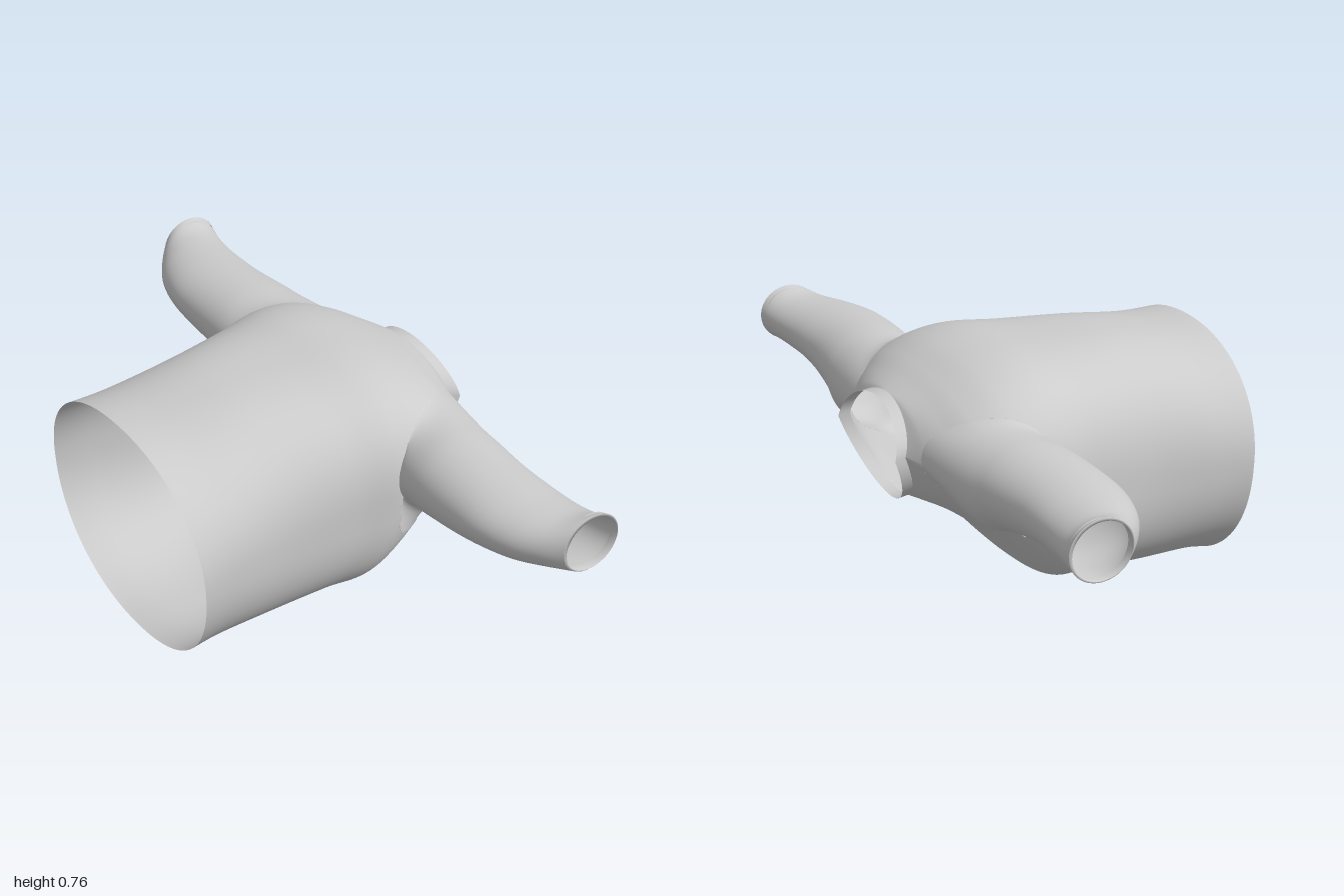
import * as THREE from 'three';

const material = new THREE.MeshStandardMaterial({ color: 0xcccccc, side: THREE.DoubleSide });

// Torso sections, hem to neck: top x,y | widest x,y | half width | bottom x,y | squareness
const SECTIONS = [
  [-0.53, 0.715, -0.51, 0.38, 0.41, -0.49, 0.0, 2.15],
  [-0.4, 0.715, -0.4, 0.38, 0.395, -0.4, 0.02, 2.3],
  [-0.2, 0.74, -0.2, 0.38, 0.38, -0.22, 0.028, 2.5],
  [0.0, 0.75, 0.0, 0.4, 0.4, -0.05, 0.055, 2.7],
  [0.15, 0.76, 0.13, 0.43, 0.43, 0.06, 0.065, 2.7],
  [0.26, 0.745, 0.25, 0.48, 0.43, 0.14, 0.12, 2.5],
  [0.35, 0.71, 0.35, 0.5, 0.4, 0.24, 0.23, 2.3],
  [0.41, 0.68, 0.42, 0.51, 0.33, 0.33, 0.3, 2.1],
  [0.45, 0.66, 0.465, 0.52, 0.25, 0.4, 0.335, 2],
  [0.46, 0.655, 0.495, 0.53, 0.185, 0.43, 0.345, 1.9],
];

// Sleeve rings, shoulder to cuff: z | x min,max | y min,max
const RINGS = [
  [0.43, 0.128, 0.443, 0.372, 0.648],
  [0.52, 0.118, 0.428, 0.4, 0.648],
  [0.65, 0.115, 0.412, 0.425, 0.642],
  [0.76, 0.122, 0.41, 0.445, 0.635],
  [0.86, 0.152, 0.415, 0.455, 0.628],
  [0.94, 0.2, 0.425, 0.465, 0.628],
  [0.995, 0.245, 0.435, 0.468, 0.645],
];

// Armhole: an ellipse in torso space (section index, angle)
const HOLE = { t: 6.1, a: 0.12, rt: 2.1, ra: 0.64 };

// Smooth interpolation through a list of number rows
function sample(rows, t) {
  const i = Math.min(Math.floor(t), rows.length - 2);
  const f = t - i;
  const row = (k) => rows[Math.max(0, Math.min(rows.length - 1, k))];
  return row(i).map((b, c) => {
    const d = row(i + 1)[c];
    const m0 = (d - row(i - 1)[c]) / 2;
    const m1 = (row(i + 2)[c] - b) / 2;
    return b + f * (m0 + f * (3 * (d - b) - 2 * m0 - m1 + f * (2 * (b - d) + m0 + m1)));
  });
}

// Point on the torso; angle 0 is the left side, PI / 2 the top
function torsoPoint(t, a) {
  const [xt, yt, xm, ym, w, xb, yb, p] = sample(SECTIONS, t);
  const c = Math.cos(a), s = Math.sin(a);
  const h = Math.abs(s) ** (2 / p);
  const [xe, ye] = s > 0 ? [xt, yt] : [xb, yb];
  return [xm + (xe - xm) * h, ym + (ye - ym) * h, w * Math.sign(c) * Math.abs(c) ** (2 / p)];
}

// Tube-like surface: rows of closed rings, with an optional rule to leave quads out
function loft(name, rows, cols, point, skip = () => false) {
  const positions = [], index = [];
  for (let i = 0; i <= rows; i++) {
    for (let j = 0; j < cols; j++) positions.push(...point(i / rows, (j / cols) * Math.PI * 2));
  }
  for (let i = 0; i < rows; i++) {
    for (let j = 0; j < cols; j++) {
      if (skip((i + 0.5) / rows, ((j + 0.5) / cols) * Math.PI * 2)) continue;
      const k = (j + 1) % cols;
      const a = i * cols + j, b = i * cols + k, c = a + cols, d = b + cols;
      index.push(a, c, b, b, c, d);
    }
  }
  const geometry = new THREE.BufferGeometry();
  geometry.setAttribute('position', new THREE.Float32BufferAttribute(positions, 3));
  geometry.setIndex(index);
  geometry.computeVertexNormals();
  const mesh = new THREE.Mesh(geometry, material);
  mesh.name = name;
  return mesh;
}

function inArmhole(t, a) {
  const side = Math.asin(Math.sin(a)); // folds the right side onto the left
  return Math.hypot((t - HOLE.t) / HOLE.rt, (side - HOLE.a) / HOLE.ra) < 0.98;
}

function makeSleeve(name, sign) {
  const ringPoint = (r, b) => {
    const [z, x0, x1, y0, y1] = r;
    return [(x0 + x1) / 2 + ((x1 - x0) / 2) * Math.cos(b), (y0 + y1) / 2 + ((y1 - y0) / 2) * Math.sin(b), z];
  };
  return loft(name, 48, 64, (v, b) => {
    const root = torsoPoint(HOLE.t + HOLE.rt * Math.cos(b), HOLE.a + HOLE.ra * Math.sin(b));
    const path = [root, ...RINGS.map((r) => ringPoint(r, b))];
    const [x, y, z] = sample(path, v * RINGS.length);
    return [x, y, z * sign];
  });
}

export function createModel() {
  const group = new THREE.Group();
  group.name = 'shirt';
  const last = SECTIONS.length - 1;

  // Body with open hem, neck and armholes
  group.add(loft('torso', 108, 128, (v, a) => torsoPoint(v * last, a), (v, a) => inArmhole(v * last, a)));

  // Sleeves grow out of the armhole edges
  group.add(makeSleeve('leftSleeve', 1), makeSleeve('rightSleeve', -1));

  // Turned-in cuff edges
  for (const sign of [1, -1]) {
    const [z, x0, x1, y0, y1] = RINGS[RINGS.length - 1];
    group.add(loft(sign > 0 ? 'leftCuff' : 'rightCuff', 2, 48, (v, b) => {
      const k = 1 - 0.07 * Math.min(1, v * 2);
      return [
        (x0 + x1) / 2 + ((x1 - x0) / 2) * k * Math.cos(b),
        (y0 + y1) / 2 + ((y1 - y0) / 2) * k * Math.sin(b),
        sign * (z + (v === 0.5 ? 0.005 : v === 1 ? -0.02 : 0)),
      ];
    }));
  }

  // Collar band standing up from the neck edge
  group.add(loft('collar', 3, 96, (v, a) => {
    const [x, y, z] = torsoPoint(last, a);
    return [x + 0.034 * v, y - 0.004 * v, z * (1 + 0.03 * v)];
  }));

  return group;
}
